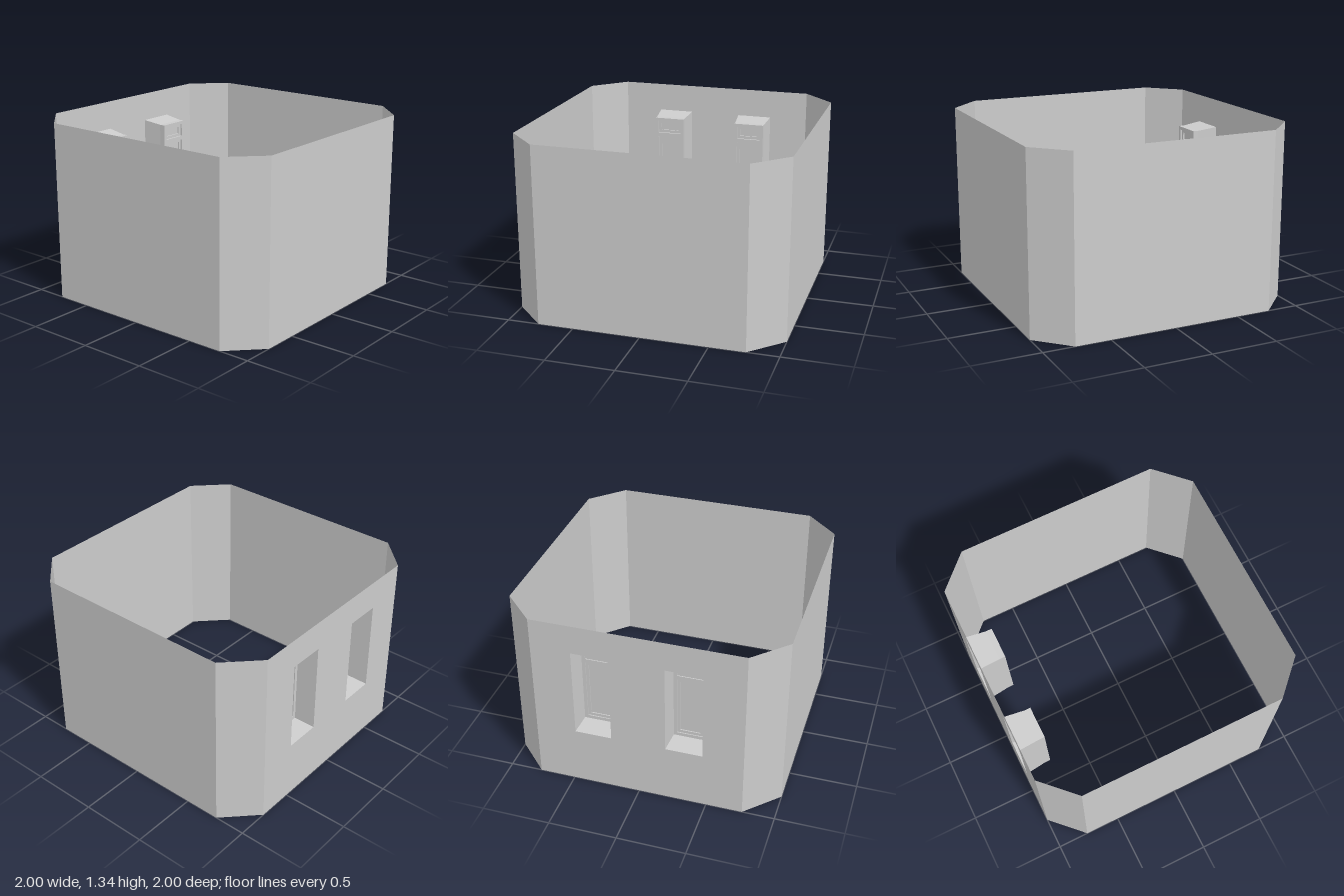
import * as THREE from 'three';

const H = 1.34;      // wall height
const C = 0.765;     // half length of the straight walls, the rest is chamfer
const WINDOWS = [-0.335, 0.335];  // window centres along z
const grey = new THREE.MeshStandardMaterial({ color: 0xcccccc, flatShading: true, side: THREE.DoubleSide });

function add(parent, name, geometry) {
  const mesh = new THREE.Mesh(geometry, grey);
  mesh.name = name;
  parent.add(mesh);
  return mesh;
}

// Rectangle outline from z and y limits (shape x is -z once turned)
function rect(Type, z0, z1, y0, y1) {
  const p = new Type();
  p.moveTo(-z1, y0).lineTo(-z0, y0).lineTo(-z0, y1).lineTo(-z1, y1).closePath();
  return p;
}

// Flat plate facing x with rectangular holes, from x0 to x1
function plate(outer, holes, x0, x1) {
  const shape = rect(THREE.Shape, ...outer);
  holes.forEach(h => shape.holes.push(rect(THREE.Path, ...h)));
  const g = new THREE.ExtrudeGeometry(shape, { depth: x1 - x0, bevelEnabled: false });
  return g.rotateY(Math.PI / 2).translate(x0, 0, 0);
}

// Four-sided sleeve lofted between two rectangles at different x
function sleeve(xa, a, xb, b) {
  const ring = (x, [z0, z1, y0, y1]) => [[x, y0, z0], [x, y0, z1], [x, y1, z1], [x, y1, z0]];
  const A = ring(xa, a), B = ring(xb, b), pos = [];
  for (let i = 0; i < 4; i++) {
    const j = (i + 1) % 4;
    pos.push(...A[i], ...A[j], ...B[j], ...A[i], ...B[j], ...B[i]);
  }
  const g = new THREE.BufferGeometry();
  g.setAttribute('position', new THREE.Float32BufferAttribute(pos, 3));
  g.computeVertexNormals();
  return g;
}

export function createModel() {
  const model = new THREE.Group();
  model.name = 'room';

  // Thin walls and chamfered corners around the room
  const corner = (1 + C) / 2, cornerWidth = (1 - C) * Math.SQRT2;
  for (let i = 0; i < 4; i++) {
    const turn = i * Math.PI / 2;
    if (i < 3) {
      add(model, 'wall', new THREE.PlaneGeometry(2 * C, H).translate(0, H / 2, 1).rotateY(turn));
    }
    add(model, 'cornerWall', new THREE.PlaneGeometry(cornerWidth, H)
      .translate(0, H / 2, corner * Math.SQRT2).rotateY(turn + Math.PI / 4));
  }

  // Wall with the two window openings
  const opening = zc => [zc - 0.135, zc + 0.135, 0.44, 1.12];
  const wall = rect(THREE.Shape, -C, C, 0, H);
  WINDOWS.forEach(zc => wall.holes.push(rect(THREE.Path, ...opening(zc))));
  add(model, 'windowWall', new THREE.ShapeGeometry(wall).rotateY(Math.PI / 2).translate(-1, 0, 0));

  for (const zc of WINDOWS) {
    const win = new THREE.Group();
    win.name = 'window';
    model.add(win);
    const z0 = zc - 0.12, z1 = zc + 0.12, y0 = 0.455, y1 = 1.1;

    // Tapered reveal running inward from the wall
    add(win, 'reveal', sleeve(-1, opening(zc), -0.845, [z0, z1, y0, y1]));

    // Outer frame with a transom between the upper and lower lights
    const t = 0.025, lower = [z0 + t, z1 - t, y0 + t, 0.945], upper = [z0 + t, z1 - t, 0.975, y1 - t];
    add(win, 'frame', plate([z0, z1, y0, y1], [lower, upper], -0.845, -0.8));

    // Recessed sashes and panes
    for (const [a, b, c, d] of [lower, upper]) {
      const s = 0.022;
      const inner = [a + s, b - s, c + s, d - s];
      add(win, 'sash', plate([a, b, c, d], [inner], -0.838, -0.815));
      add(win, 'pane', plate(inner, [], -0.83, -0.826));
    }
  }
  return model;
}
